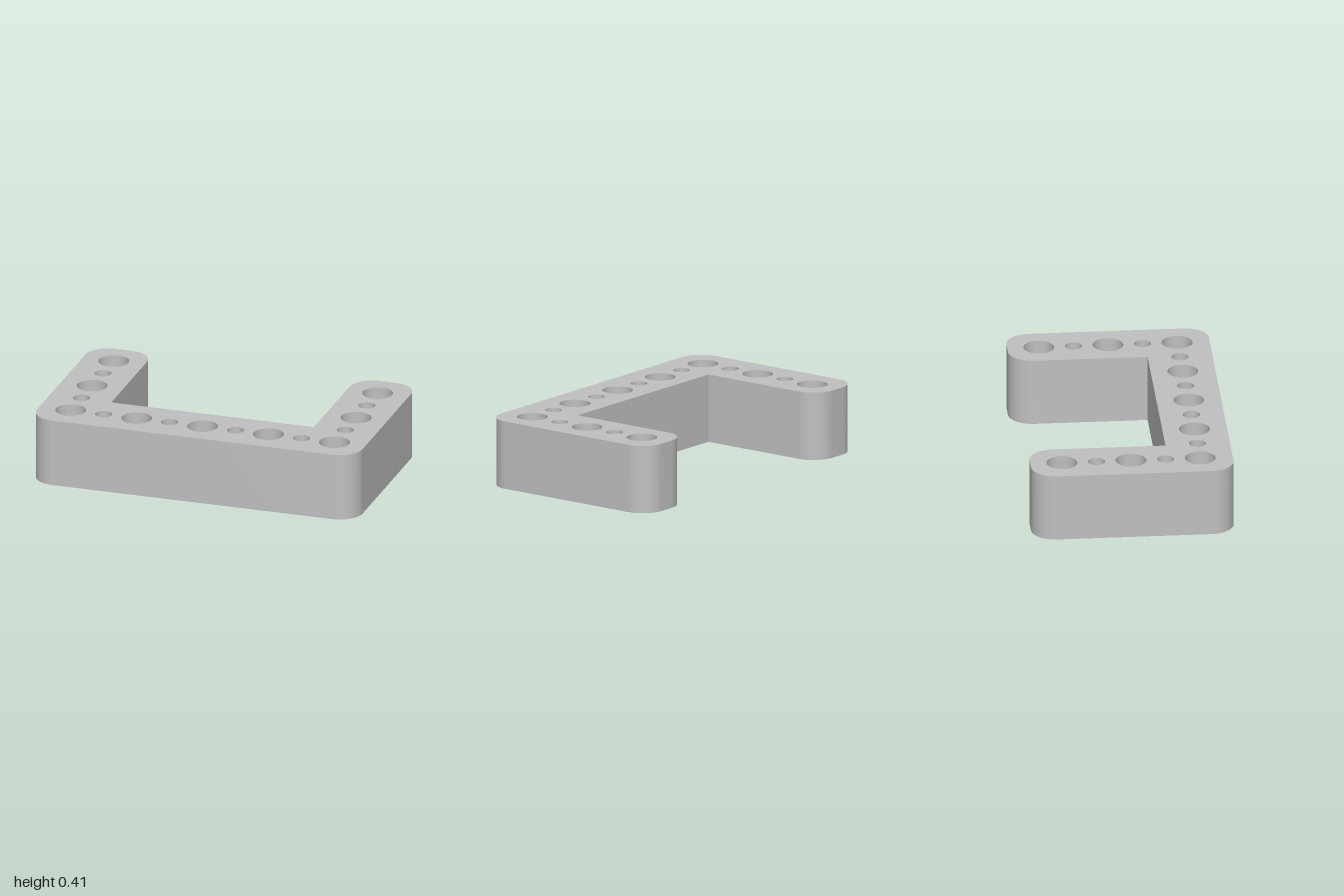
import * as THREE from 'three';
import { toCreasedNormals } from 'three/addons/utils/BufferGeometryUtils.js';

const HEIGHT = 0.405;
const HALF_X = 1, HALF_Z = 0.593; // outer half sizes
const INNER_X = 0.622, INNER_Z = 0.214; // inside walls of the U
const CORNER = 0.14;
const PITCH = 0.405; // spacing between large holes
const LARGE = 0.09, SMALL = 0.05;
const ROW_Z = 0.402; // hole row along the front bar

// Outline drawn in plan, with shape y = -z
function outline() {
  const s = new THREE.Shape();
  const q = Math.PI / 2, r = CORNER, cx = HALF_X - r, cy = HALF_Z - r, ix = INNER_X + r;
  s.moveTo(-cx, -HALF_Z);
  s.absarc(cx, -cy, r, -q, 0, false);
  s.absarc(cx, cy, r, 0, q, false);
  s.absarc(ix, cy, r, q, 2 * q, false);
  s.lineTo(INNER_X, -INNER_Z);
  s.lineTo(-INNER_X, -INNER_Z);
  s.absarc(-ix, cy, r, 0, q, false);
  s.absarc(-cx, cy, r, q, 2 * q, false);
  s.absarc(-cx, -cy, r, 2 * q, 3 * q, false);
  return s;
}

function addHole(shape, x, z, radius) {
  const hole = new THREE.Path();
  hole.absarc(x, -z, radius, 0, Math.PI * 2, true);
  shape.holes.push(hole);
}

export function createModel() {
  const group = new THREE.Group();
  group.name = 'perforatedBracket';
  const grey = new THREE.MeshStandardMaterial({ color: 0xc0c0c0 });
  grey.name = 'light grey';

  const shape = outline();
  // Alternating large and small holes along the front bar
  for (let i = -4; i <= 4; i++) {
    addHole(shape, i * PITCH / 2, ROW_Z, i % 2 ? SMALL : LARGE);
  }
  // The same pattern continues back along both arms
  for (const side of [-1, 1]) {
    for (let i = 1; i <= 4; i++) {
      addHole(shape, side * 2 * PITCH, ROW_Z - i * PITCH / 2, i % 2 ? SMALL : LARGE);
    }
  }

  const extruded = new THREE.ExtrudeGeometry(shape, {
    depth: HEIGHT, bevelEnabled: false, curveSegments: 16,
  });
  extruded.rotateX(-Math.PI / 2);
  const bracket = new THREE.Mesh(toCreasedNormals(extruded, Math.PI / 5), grey);
  bracket.name = 'bracketBody';
  // One material covers caps and walls
  bracket.geometry.clearGroups();
  group.add(bracket);
  return group;
}
